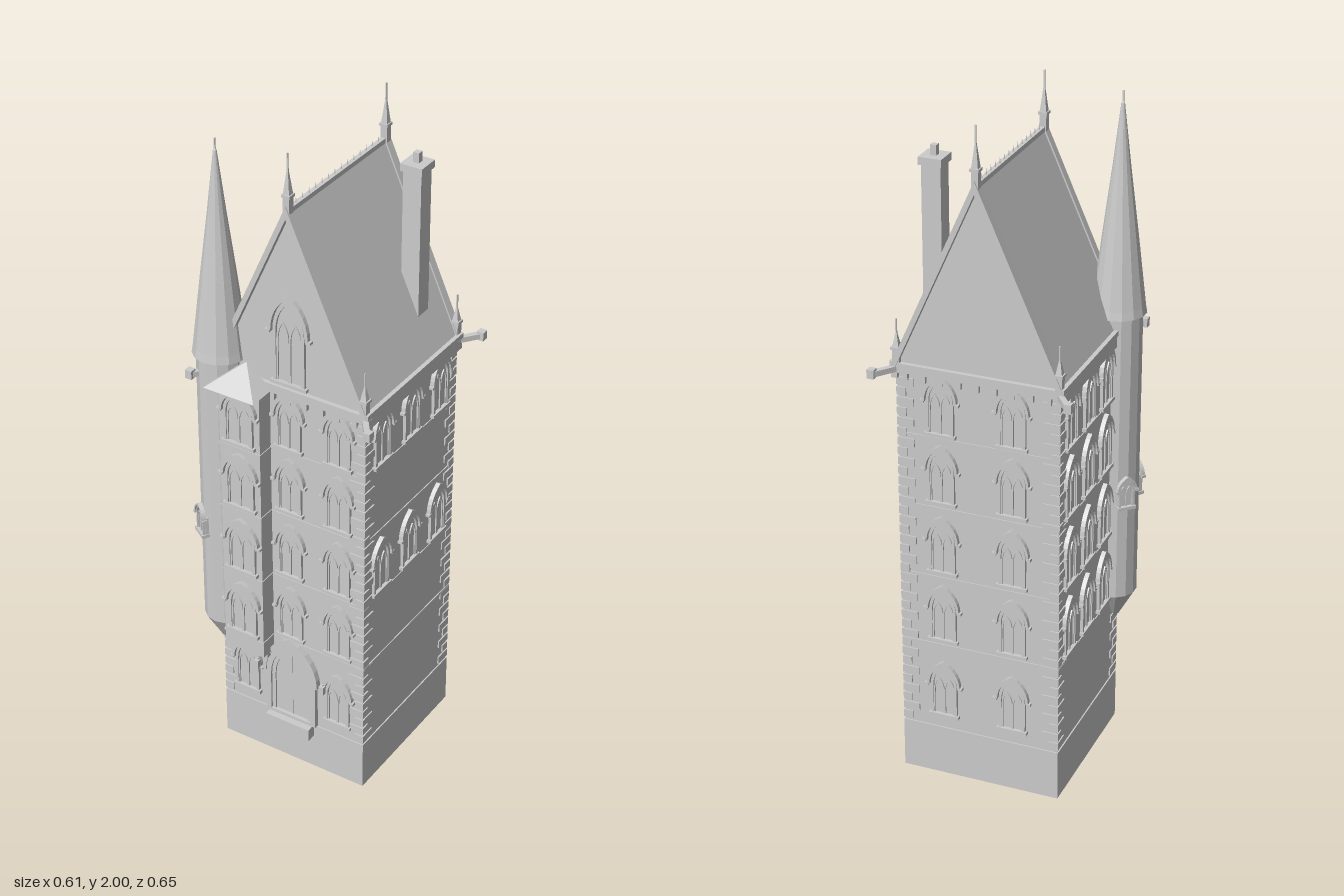
import * as THREE from 'three';

const MAT = new THREE.MeshStandardMaterial({ color: 0xcccccc, flatShading: true, side: THREE.DoubleSide });
const HALF = 0.235; // half width of the square tower

function add(parent, name, geo, x = 0, y = 0, z = 0, ry = 0) {
  const m = new THREE.Mesh(geo, MAT);
  m.name = name;
  m.position.set(x, y, z);
  m.rotation.y = ry;
  parent.add(m);
  return m;
}
const box = (w, h, d) => new THREE.BoxGeometry(w, h, d);
const extrude = (shape, depth) => new THREE.ExtrudeGeometry(shape, { depth, bevelEnabled: false, curveSegments: 6 });

// pointed arch outline, w = half width
function arch(w, y0, spring, h, Type = THREE.Shape) {
  const p = new Type();
  const c = spring + (h - spring) * 0.65;
  p.moveTo(-w, y0);
  p.lineTo(w, y0);
  p.lineTo(w, spring);
  p.quadraticCurveTo(w, c, 0, h);
  p.quadraticCurveTo(-w, c, -w, spring);
  p.closePath();
  return p;
}
function archFrame(w, h, spring, t, depth) {
  const s = arch(w, 0, spring, h);
  s.holes.push(arch(w - t, t * 0.6, spring, h - t * 1.3, THREE.Path));
  return extrude(s, depth);
}
// curved band over the head of an opening
function archHood(w, spring, h, t, depth) {
  const s = new THREE.Shape();
  const c = spring + (h - spring) * 0.65, v = w - t, k = h - t * 1.3, e = spring + (k - spring) * 0.65;
  s.moveTo(w, spring);
  s.quadraticCurveTo(w, c, 0, h);
  s.quadraticCurveTo(-w, c, -w, spring);
  s.lineTo(-v, spring);
  s.quadraticCurveTo(-v, e, 0, k);
  s.quadraticCurveTo(v, e, v, spring);
  s.closePath();
  return extrude(s, depth);
}

// two-light window with hood mould and sill
function makeWindow(w, h) {
  const g = new THREE.Group();
  g.name = 'window';
  const spring = h * 0.55, t = w * 0.2, lw = (w - t) * 0.5;
  add(g, 'windowFrame', archFrame(w, h * 0.94, spring, t, 0.009));
  add(g, 'windowPane', new THREE.ShapeGeometry(arch(w * 0.9, 0, spring, h * 0.9), 6), 0, 0, 0.002);
  for (const s of [-1, 1]) {
    add(g, 'lancet', archFrame(lw, h * 0.68, h * 0.45, t * 0.5, 0.006), s * lw);
    add(g, 'hoodStop', box(w * 0.3, 0.008, 0.014), s * w * 1.28, spring, 0.007);
  }
  add(g, 'hoodMould', archHood(w * 1.28, spring, h, t, 0.013));
  add(g, 'windowSill', box(w * 2.3, 0.01, 0.026), 0, 0, 0);
  return g;
}

// put a part on a wall: a = facing angle, u = offset to the right
function onWall(parent, part, a, u, y, dist = HALF) {
  part.position.set(Math.sin(a) * dist + Math.cos(a) * u, y, Math.cos(a) * dist - Math.sin(a) * u);
  part.rotation.y = a;
  parent.add(part);
}

function makeSpire(name, base, shaft, top, w) {
  const g = new THREE.Group();
  g.name = name;
  add(g, 'spireShaft', box(w, shaft - base, w), 0, (base + shaft) / 2);
  add(g, 'spireCollar', box(w * 1.3, 0.008, w * 1.3), 0, shaft);
  add(g, 'spirePoint', new THREE.ConeGeometry(w * 0.7, top - 0.03 - shaft, 4), 0, (top - 0.03 + shaft) / 2, 0, Math.PI / 4);
  add(g, 'spireTip', box(0.004, 0.05, 0.004), 0, top - 0.025);
  return g;
}

export function createModel() {
  const model = new THREE.Group();
  model.name = 'gothicTower';
  const g = new THREE.Group();
  g.name = 'tower';
  g.position.set(0.012, 0, -0.016);
  model.add(g);
  const signs = [-1, 1];
  const corners = signs.flatMap(x => signs.map(z => [x, z]));

  // plinth, open underneath
  add(g, 'plinth', new THREE.CylinderGeometry(0.239 * Math.SQRT2, 0.239 * Math.SQRT2, 0.155, 4, 1, true), 0, 0.0775, 0, Math.PI / 4);
  add(g, 'plinthTop', box(0.478, 0.006, 0.478), 0, 0.152);
  add(g, 'walls', box(HALF * 2, 1.14, HALF * 2), 0, 0.725);
  for (const y of [0.43, 0.65, 0.87, 1.085]) add(g, 'stringCourse', box(0.476, 0.008, 0.476), 0, y);

  // quoins, alternating long and short
  for (const [sx, sz] of corners) {
    for (let i = 0; i < 36; i++) {
      const a = i % 2 ? 0.05 : 0.028, b = i % 2 ? 0.028 : 0.05;
      add(g, 'quoin', box(a, 0.024, b), sx * (0.239 - a / 2), 0.175 + i * 0.0305, sz * (0.239 - b / 2));
    }
  }

  // cornice and its small brackets
  add(g, 'cornice', box(0.496, 0.026, 0.496), 0, 1.285);
  for (const s of signs) {
    add(g, 'eaves', box(0.018, 0.045, 0.496), s * 0.24, 1.276);
    add(g, 'gutter', box(0.014, 0.016, 0.5), s * 0.245, 1.295);
  }
  for (let k = 0; k < 4; k++) {
    for (let i = 0; i < 9; i++) onWall(g, add(g, 'bracket', box(0.012, 0.025, 0.016)), k * Math.PI / 2, -0.208 + i * 0.052, 1.262, 0.238);
  }

  // steep roof with gable copings
  const roof = new THREE.Shape([[-0.245, 1.29], [0.245, 1.29], [0, 1.84]].map(p => new THREE.Vector2(...p)));
  add(g, 'roof', extrude(roof, HALF * 2), 0, 0, -HALF);
  const coping = new THREE.Shape([[-0.252, 1.285], [0, 1.852], [0.252, 1.285], [0.236, 1.285], [0, 1.815], [-0.236, 1.285]].map(p => new THREE.Vector2(...p)));
  for (const s of signs) {
    add(g, 'gableCoping', extrude(coping, 0.025), 0, 0, s * 0.2385 - 0.0125);
    const finial = makeSpire('ridgeFinial', 1.81, 1.88, 2.0, 0.02);
    finial.position.z = s * 0.237;
    g.add(finial);
  }
  add(g, 'ridge', box(0.014, 0.014, 0.45), 0, 1.836);
  for (let i = 0; i < 14; i++) add(g, 'ridgeSpike', new THREE.ConeGeometry(0.003, 0.022, 4), 0, 1.85, -0.2 + i * 0.0308);

  // corner pinnacles and diagonal water spouts
  for (const [sx, sz] of corners) {
    const p = makeSpire('cornerPinnacle', 1.27, 1.34, 1.425, 0.02);
    p.position.set(sx * 0.235, 0, sz * 0.238);
    g.add(p);
    add(g, 'spout', box(0.016, 0.016, 0.09), sx * 0.258, 1.28, sz * 0.268, Math.atan2(sx * 0.75, sz));
    add(g, 'spoutHead', box(0.021, 0.026, 0.021), sx * 0.283, 1.281, sz * 0.298);
  }

  // chimney
  add(g, 'chimney', box(0.056, 0.44, 0.052), 0.164, 1.62, -0.128);
  add(g, 'chimneyCap', box(0.067, 0.022, 0.067), 0.164, 1.85, -0.128);
  add(g, 'chimneyPot', box(0.018, 0.03, 0.018), 0.164, 1.875, -0.128);

  // windows of all four walls
  const rows = [0.2, 0.45, 0.67, 0.89, 1.1];
  const small = makeWindow(0.04, 0.18), wide = makeWindow(0.047, 0.18);
  const put = (a, us, ys) => us.forEach(u => ys.forEach(y => onWall(g, small.clone(), a, u, y)));
  put(0, [0.153], rows);
  put(0, [-0.005], rows.slice(1));
  put(0, [-0.157], [0.2]);
  put(Math.PI, [-0.11, 0.1], rows);
  put(Math.PI / 2, [-0.152, 0, 0.152], [0.67, 1.1]);
  put(-Math.PI / 2, [-0.155, -0.02, 0.112], rows.slice(1));
  onWall(g, makeWindow(0.05, 0.28), 0, 0, 1.31);

  // projecting bay with corbel and hipped roof
  const bx = -0.133, bz = 0.288;
  add(g, 'bayWall', box(0.132, 0.9, bz - 0.2), bx, 0.83, (bz + 0.2) / 2);
  add(g, 'bayCorbel', box(0.126, 0.02, 0.06), bx, 0.372, 0.236);
  add(g, 'bayCorbelLower', box(0.11, 0.02, 0.035), bx, 0.354, 0.232);
  for (const y of rows.slice(1)) {
    onWall(g, wide.clone(), 0, bx, y, bz);
    add(g, 'bayString', box(0.137, 0.007, 0.06), bx, y - 0.018, bz - 0.027);
  }
  const hip = new THREE.BufferGeometry();
  hip.setAttribute('position', new THREE.Float32BufferAttribute([-0.081, 0, 0.09, 0.081, 0, 0.09, 0, 0.062, 0, -0.081, 0, 0, 0.081, 0, 0], 3));
  hip.setIndex([0, 1, 2, 3, 0, 2, 1, 4, 2, 0, 3, 4, 0, 4, 1]);
  hip.computeVertexNormals();
  add(g, 'bayRoof', hip, bx, 1.28, 0.247);

  // doorway
  const door = new THREE.Group();
  door.name = 'doorway';
  add(door, 'doorSurround', archFrame(0.085, 0.28, 0.14, 0.018, 0.014));
  add(door, 'innerDoorSurround', archFrame(0.067, 0.256, 0.14, 0.012, 0.008));
  add(door, 'doorLeaf', new THREE.ShapeGeometry(arch(0.06, 0, 0.14, 0.245), 6), 0, 0, 0.003);
  add(door, 'doorSplit', box(0.004, 0.235, 0.008), 0, 0.118);
  add(door, 'doorHood', archHood(0.094, 0.15, 0.295, 0.012, 0.018));
  add(door, 'doorStep', box(0.148, 0.04, 0.04), 0, -0.02, 0.014);
  for (const s of signs) {
    add(door, 'lampArm', box(0.004, 0.004, 0.02), s * 0.112, 0.175, 0.008);
    add(door, 'lamp', box(0.015, 0.026, 0.014), s * 0.112, 0.16, 0.018);
  }
  onWall(g, door, 0, -0.003, 0.155);

  // round corner turret with tapered foot and tall cone
  const turret = new THREE.Group();
  turret.name = 'cornerTurret';
  turret.position.set(-0.23, 0, 0.228);
  g.add(turret);
  const profile = (...pts) => new THREE.LatheGeometry(pts.map(p => new THREE.Vector2(...p)), 14);
  add(turret, 'turretWall', profile([0, 0.345], [0.02, 0.365], [0.068, 0.45], [0.068, 1.34]));
  add(turret, 'turretRoof', profile([0.068, 1.335], [0.079, 1.335], [0.075, 1.36], [0.05, 1.57], [0.026, 1.76], [0.005, 1.94], [0, 1.95]));
  add(turret, 'turretTip', box(0.004, 0.04, 0.004), 0, 1.955);
  for (const a of [Math.PI * 1.25, -0.58]) {
    onWall(turret, makeWindow(0.024, 0.1), a, 0, 0.75, 0.07);
    onWall(turret, add(turret, 'turretWindowBack', box(0.05, 0.06, 0.014)), a, 0, 0.78, 0.064);
  }
  return model;
}
